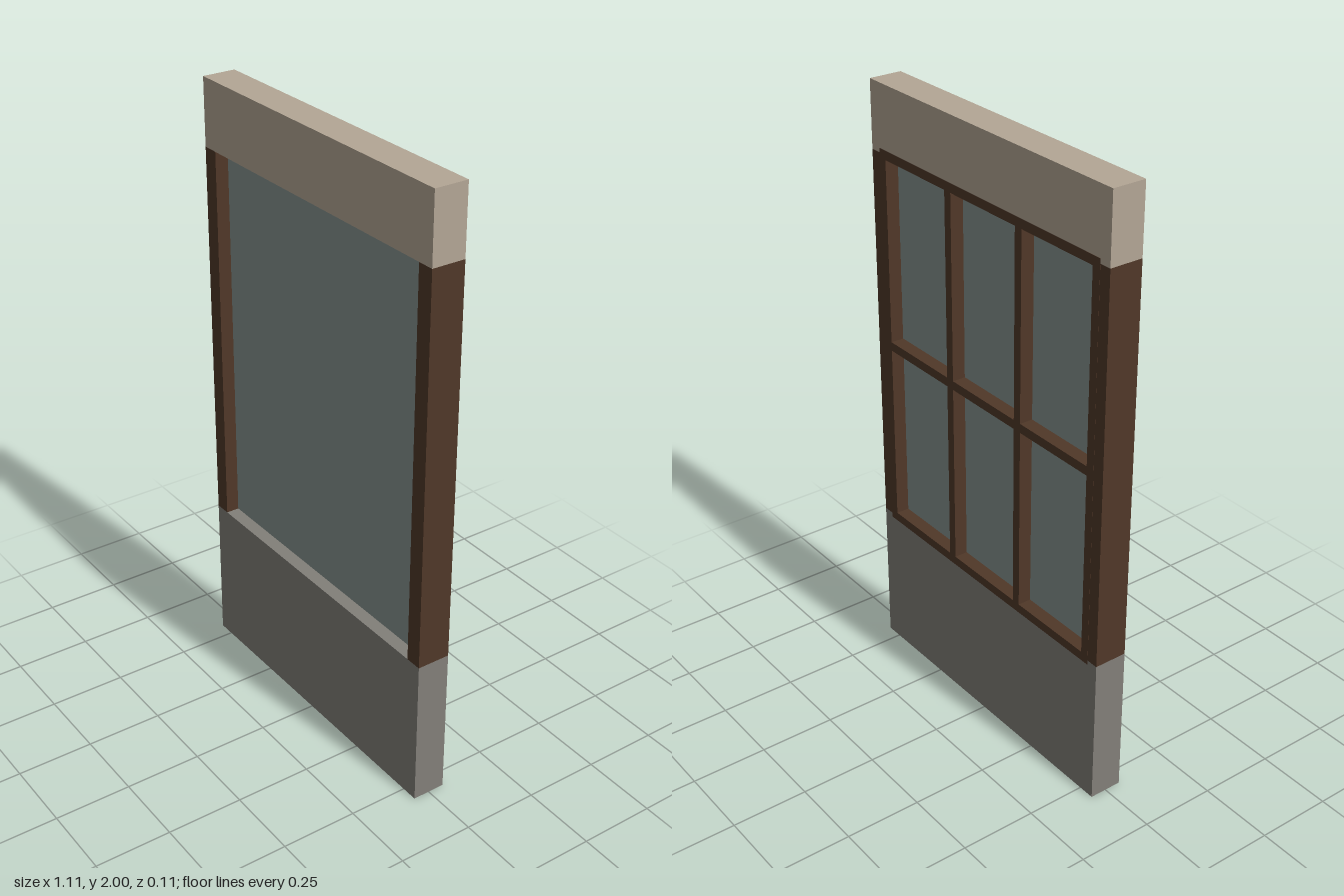
import * as THREE from 'three';

const mat = (color) => new THREE.MeshStandardMaterial({ color });

export function createModel() {
  const group = new THREE.Group();
  const stone = mat(0x827f79), plaster = mat(0xb3a695), wood = mat(0x503828), glass = mat(0x86938f);

  const box = (name, material, w, h, d, x, y, z) => {
    const mesh = new THREE.Mesh(new THREE.BoxGeometry(w, h, d), material);
    mesh.name = name;
    mesh.position.set(x, y, z);
    group.add(mesh);
  };

  const width = 1.11, depth = 0.11;
  const sill = 0.5, head = 1.78, halfOpening = 0.5;
  const midY = (sill + head) / 2, openingHeight = head - sill;

  // Solid wall below and lintel above the opening
  box('lowerWall', stone, width, sill, depth, 0, sill / 2, 0);
  box('lintel', plaster, width, 2 - head, depth, 0, (2 + head) / 2, 0);

  // Side posts
  const postWidth = width / 2 - halfOpening;
  for (const [name, s] of [['leftPost', 1], ['rightPost', -1]]) {
    box(name, wood, postWidth, openingHeight, depth, s * (halfOpening + postWidth / 2), midY, 0);
  }

  // Recessed pane
  box('glassPane', glass, halfOpening * 2, openingHeight, 0.022, 0, midY, 0);

  // Glazing bars behind the pane, a hair proud of the wall so faces do not coincide
  const bar = 0.03, barDepth = 0.0445, barZ = -0.0333;
  for (let i = 0; i < 4; i++) {
    const x = -halfOpening + (i * 2 * halfOpening) / 3;
    box('verticalBar', wood, bar, openingHeight + bar, barDepth, x, midY, barZ);
  }
  for (let j = 0; j < 3; j++) {
    const y = sill + (j * openingHeight) / 2;
    box('horizontalBar', wood, halfOpening * 2 + bar, bar, barDepth, 0, y, barZ);
  }

  return group;
}
